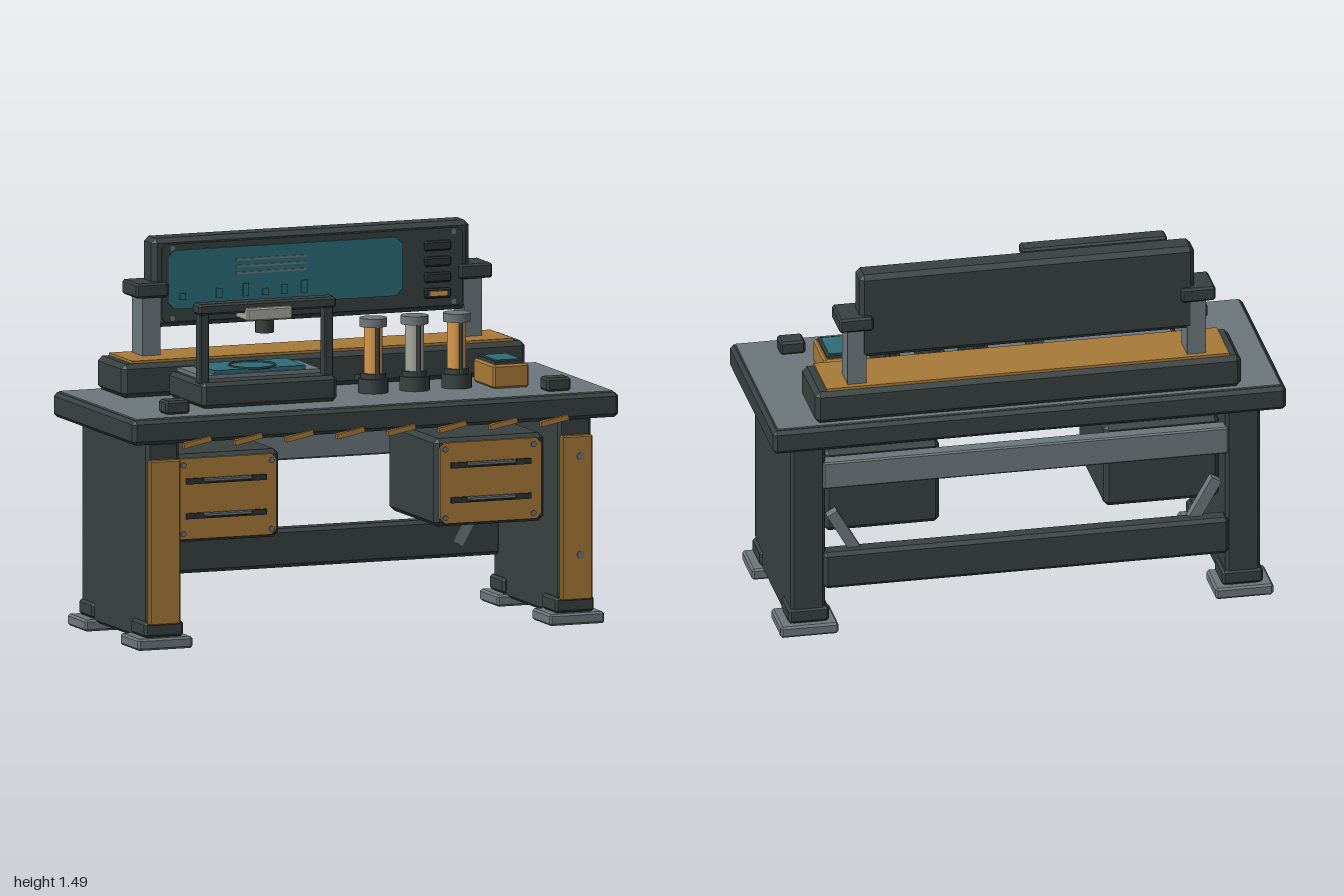
import * as THREE from 'three';
import { ConvexGeometry } from 'three/addons/geometries/ConvexGeometry.js';

const mat = (name, color) => {
  const m = new THREE.MeshStandardMaterial({ color });
  m.name = name;
  return m;
};

export function createModel() {
  const root = new THREE.Group();
  root.name = 'workbench';
  const dark = mat('charcoal', 0x384141);
  const black = mat('slotBlack', 0x2a3131);
  const grey = mat('steelGrey', 0x6d787c);
  const orange = mat('ochre', 0xa87a38);
  const amber = mat('amber', 0xd9994a);
  const teal = mat('teal', 0x2d6d79);
  const pale = mat('paleGrey', 0xa5a79d);

  const add = (name, geo, material, x = 0, y = 0, z = 0) => {
    const m = new THREE.Mesh(geo, material);
    m.name = name;
    m.position.set(x, y, z);
    root.add(m);
    return m;
  };
  // Box between two corners, with chamfered edges of size c
  const box = (name, material, x0, x1, y0, y1, z0, z1, c = 0) => {
    const w = x1 - x0, h = y1 - y0, d = z1 - z0;
    let geo;
    if (c) {
      const pts = [];
      for (const i of [-1, 1]) for (const j of [-1, 1]) for (const k of [-1, 1]) {
        const a = i * w / 2, b = j * h / 2, e = k * d / 2;
        pts.push(new THREE.Vector3(a, b - j * c, e - k * c),
          new THREE.Vector3(a - i * c, b, e - k * c),
          new THREE.Vector3(a - i * c, b - j * c, e));
      }
      geo = new ConvexGeometry(pts);
    } else geo = new THREE.BoxGeometry(w, h, d);
    return add(name, geo, material, (x0 + x1) / 2, (y0 + y1) / 2, (z0 + z1) / 2);
  };
  // Upright plate with cut corners, facing +z
  const plate = (name, material, x0, x1, y0, y1, z, t, c) => {
    const s = new THREE.Shape([[x0 + c, y0], [x1 - c, y0], [x1, y0 + c], [x1, y1 - c],
      [x1 - c, y1], [x0 + c, y1], [x0, y1 - c], [x0, y0 + c]].map(p => new THREE.Vector2(...p)));
    return add(name, new THREE.ExtrudeGeometry(s, { depth: t, bevelEnabled: false }), material, 0, 0, z);
  };
  const cyl = (name, material, r, y0, y1, x, z, n = 20) =>
    add(name, new THREE.CylinderGeometry(r, r, y1 - y0, n), material, x, (y0 + y1) / 2, z);
  const screw = (x, y, z, r = 0.011) => {
    const m = add('screw', new THREE.CylinderGeometry(r, r, 0.008, 10), grey, x, y, z);
    m.rotation.x = Math.PI / 2;
  };

  // Worktop with grey surface and slanted marks along the front edge
  box('worktop', dark, -1, 1, 0.80, 0.895, -0.42, 0.405, 0.014);
  box('worktopSurface', grey, -0.98, 0.98, 0.893, 0.9, -0.40, 0.385);
  for (let i = 0; i < 8; i++) {
    const x = -0.74 + i * 0.21;
    const m = box('edgeMark', orange, x - 0.057, x + 0.057, 0.792, 0.812, 0.395, 0.418);
    m.rotation.z = 0.2;
  }

  // Legs, feet, drawers and braces on both sides
  for (const s of [-1, 1]) {
    const sbox = (name, m, a, b, ...rest) => box(name, m, Math.min(s * a, s * b), Math.max(s * a, s * b), ...rest);
    sbox('legPanel', dark, 0.78, 0.915, 0.03, 0.80, -0.335, 0.33, 0.012);
    sbox('legFrontPanel', orange, 0.785, 0.91, 0.095, 0.73, 0.325, 0.355, 0.005);
    for (const [z0, z1] of [[0.19, 0.337], [-0.342, -0.2]])
      sbox('legShoe', dark, 0.765, 0.925, 0.045, 0.105, z0, z1, 0.01);
    for (const [z0, z1] of [[0.168, 0.355], [-0.367, -0.18]])
      sbox('footPad', grey, 0.735, 0.96, 0, 0.045, z0, z1, 0.008);

    sbox('drawerBox', dark, 0.32, 0.77, 0.385, 0.725, -0.27, 0.21, 0.018);
    const [d0, d1] = s > 0 ? [0.337, 0.753] : [-0.753, -0.337];
    plate('drawerFront', orange, d0, d1, 0.398, 0.71, 0.2, 0.02, 0.02);
    for (const y of [0.488, 0.622]) {
      sbox('handleSlot', black, 0.38, 0.71, y - 0.011, y + 0.011, 0.215, 0.228);
      sbox('handleBar', grey, 0.445, 0.64, y - 0.003, y + 0.013, 0.228, 0.25, 0.004);
    }
    for (const x of [0.357, 0.72]) for (const y of [0.42, 0.685]) screw(s * x, y, 0.222);

    const brace = box('brace', grey, s * 0.68 - 0.022, s * 0.68 + 0.022, 0.22, 0.50, -0.315, -0.275);
    brace.rotation.z = -s * 0.52;

    // Corner block on the worktop
    sbox('cornerBlock', dark, 0.735, 0.833, 0.9, 0.952, 0.245, 0.325, 0.008);

    // Display posts and clamps
    sbox('displayPost', grey, 0.625, 0.698, 1.035, 1.28, -0.355, -0.248);
    sbox('displayClamp', dark, 0.60, 0.733, 1.265, 1.322, -0.375, -0.222, 0.008);
  }
  for (const y of [0.27, 0.65]) screw(0.86, y, 0.356, 0.015);

  // Rear rails
  box('upperRail', grey, -0.79, 0.79, 0.60, 0.71, -0.342, -0.28, 0.006);
  box('lowerRail', dark, -0.79, 0.79, 0.185, 0.335, -0.358, -0.28, 0.014);

  // Rear riser
  box('riser', dark, -0.83, 0.83, 0.9, 1.03, -0.395, -0.122, 0.018);
  box('riserTop', orange, -0.785, 0.785, 1.026, 1.04, -0.378, -0.14);
  const nub = box('riserPointer', dark, 0.13, 0.17, 0.92, 0.94, -0.142, -0.102);
  nub.rotation.y = Math.PI / 4;

  // Display panel
  box('displayPanel', dark, -0.655, 0.65, 1.145, 1.488, -0.357, -0.25, 0.018);
  plate('displayFace', dark, -0.62, 0.615, 1.165, 1.465, -0.251, 0.009, 0.015);
  plate('screen', teal, -0.60, 0.367, 1.215, 1.442, -0.244, 0.009, 0.028);
  for (const y of [1.34, 1.366, 1.392])
    box('screenLine', grey, -0.32, -0.03, y - 0.004, y + 0.004, -0.238, -0.23);
  [-0.54, -0.39, -0.28, -0.2, -0.12, -0.04].forEach((x, i) =>
    box('screenBar', teal, x - 0.012, x + 0.012, 1.25, 1.275 + 0.012 * (i % 3), -0.238, -0.228));
  for (let i = 0; i < 4; i++) {
    const y = 1.4 - i * 0.061, last = i === 3;
    box('button', black, 0.455, 0.563, y - 0.019, y + 0.019, -0.245, -0.222, 0.006);
    if (last) box('buttonLight', amber, 0.472, 0.546, y - 0.01, y + 0.01, -0.225, -0.216);
  }
  for (const x of [-0.58, 0.577]) for (const y of [1.18, 1.45]) screw(x, y, -0.241);

  // Scanning station base, bed and target ring
  box('scannerBase', dark, -0.65, -0.095, 0.9, 1.0, -0.108, 0.245, 0.015);
  box('scannerBed', grey, -0.62, -0.125, 0.995, 1.015, -0.09, 0.15);
  box('scannerSheet', teal, -0.56, -0.185, 1.013, 1.03, -0.06, 0.14);
  const ring = add('targetRing', new THREE.TorusGeometry(0.088, 0.005, 6, 32), dark, -0.373, 1.031, 0.062);
  ring.rotation.x = Math.PI / 2;

  // Scanner gantry and head
  for (const x of [-0.628, -0.117])
    box('gantryPost', dark, x - 0.018, x + 0.018, 0.99, 1.27, 0.163, 0.212, 0.004);
  box('gantryBeam', dark, -0.655, -0.09, 1.258, 1.3, 0.15, 0.222, 0.008);
  box('scannerHead', pale, -0.467, -0.28, 1.228, 1.278, 0.125, 0.247, 0.006);
  cyl('scannerLens', dark, 0.036, 1.175, 1.23, -0.373, 0.187, 16);

  // Three canisters with guide rods
  [[0.12, amber], [0.29, pale], [0.463, amber]].forEach(([x, m]) => {
    const z = 0.075;
    cyl('canisterBase', dark, 0.058, 0.9, 0.955, x, z);
    cyl('canisterCollar', dark, 0.048, 0.955, 0.975, x, z);
    cyl('canisterBody', m, 0.036, 0.97, 1.165, x, z);
    cyl('canisterCap', grey, 0.053, 1.155, 1.188, x, z);
    for (const s of [-1, 1]) cyl('canisterRod', dark, 0.009, 0.955, 1.16, x, z + s * 0.044, 8);
  });

  // Small control box
  box('controlBox', orange, 0.573, 0.72, 0.9, 0.992, -0.028, 0.18, 0.008);
  box('controlBezel', dark, 0.586, 0.707, 0.988, 1.002, -0.012, 0.163);
  box('controlScreen', teal, 0.596, 0.697, 1.0, 1.007, 0, 0.15);

  return root;
}
